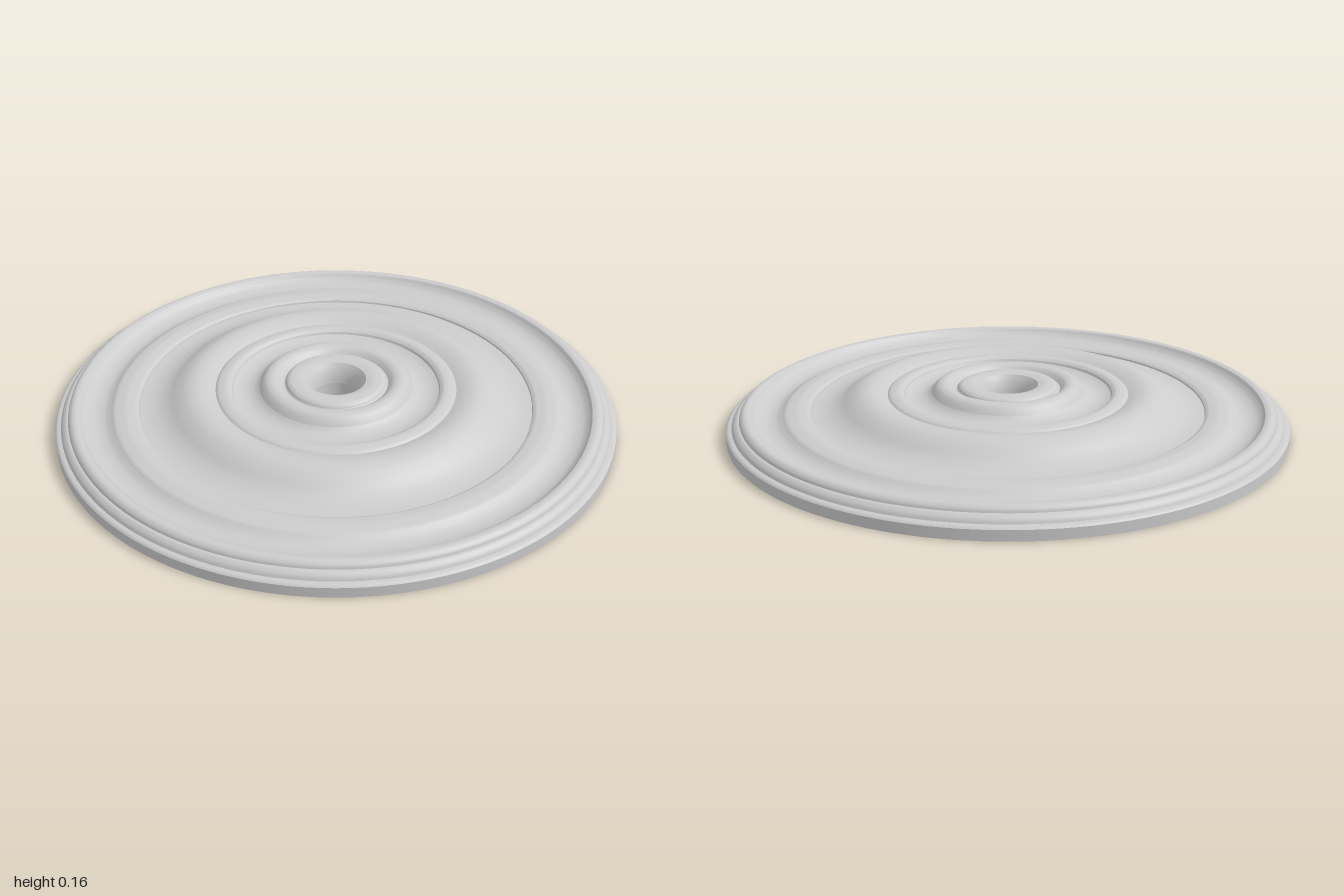
import * as THREE from 'three';

const SIDES = 128;

export function createModel() {
  const group = new THREE.Group();
  const material = new THREE.MeshStandardMaterial({ color: 0xcccccc });

  // Each moulding is a smooth lathe; creases fall where two mouldings meet.
  function moulding(name, points, curved = true) {
    let profile = points.map(([r, y]) => new THREE.Vector2(r, y));
    if (curved) profile = new THREE.SplineCurve(profile).getPoints((points.length - 1) * 4);
    const mesh = new THREE.Mesh(new THREE.LatheGeometry(profile, SIDES), material);
    mesh.name = name;
    group.add(mesh);
  }

  // Outer rim, listed from the edge towards the centre
  moulding('outerEdge', [[1, 0], [1, 0.037]], false);
  moulding('outerLedge', [[1, 0.037], [0.993, 0.043], [0.98, 0.046]]);
  moulding('rimCove', [[0.98, 0.046], [0.974, 0.058], [0.962, 0.068], [0.953, 0.07]]);
  moulding('rimBead', [[0.953, 0.07], [0.949, 0.08], [0.938, 0.089], [0.925, 0.091], [0.912, 0.088]]);
  moulding('rimInnerWall', [[0.912, 0.088], [0.903, 0.077]], false);
  moulding('outerValley', [[0.903, 0.077], [0.885, 0.064], [0.855, 0.057], [0.825, 0.06], [0.803, 0.071]]);

  // Middle ring with its stepped shoulders
  moulding('middleRingOuterShoulder', [[0.803, 0.071], [0.79, 0.079], [0.768, 0.083]]);
  moulding('middleRingTop', [[0.768, 0.083], [0.75, 0.085], [0.728, 0.083]]);
  moulding('middleRingInnerShoulder', [[0.728, 0.083], [0.715, 0.081], [0.704, 0.075]]);
  moulding('middleRingInnerWall', [[0.704, 0.075], [0.702, 0.069]], false);

  // Broad ogee dome
  moulding('ogeeDome', [[0.702, 0.069], [0.67, 0.07], [0.635, 0.077], [0.6, 0.092], [0.565, 0.116],
    [0.53, 0.134], [0.495, 0.14], [0.46, 0.134], [0.43, 0.122]]);

  // Inner ring and its valley
  moulding('innerRingOuter', [[0.43, 0.122], [0.42, 0.129], [0.4, 0.133]]);
  moulding('innerRingInner', [[0.4, 0.133], [0.385, 0.132], [0.372, 0.124]]);
  moulding('innerRingWall', [[0.372, 0.124], [0.368, 0.116]], false);
  moulding('innerValley', [[0.368, 0.116], [0.345, 0.109], [0.315, 0.108], [0.29, 0.115], [0.274, 0.126]]);

  // Raised central bead and collar around the hole
  moulding('centreBead', [[0.274, 0.126], [0.262, 0.142], [0.248, 0.154], [0.228, 0.159], [0.207, 0.154], [0.192, 0.141]]);
  moulding('centreGroove', [[0.192, 0.141], [0.186, 0.135], [0.18, 0.138]]);
  moulding('collarOuter', [[0.18, 0.138], [0.174, 0.147], [0.163, 0.153]]);
  moulding('collarTop', [[0.163, 0.153], [0.135, 0.155], [0.108, 0.15]]);
  moulding('holeFunnel', [[0.108, 0.15], [0.095, 0.13], [0.085, 0.105], [0.08, 0.08]]);
  moulding('holeWall', [[0.08, 0.08], [0.08, 0]], false);

  // Flat back
  moulding('flatBack', [[0.08, 0], [1, 0]], false);

  return group;
}
